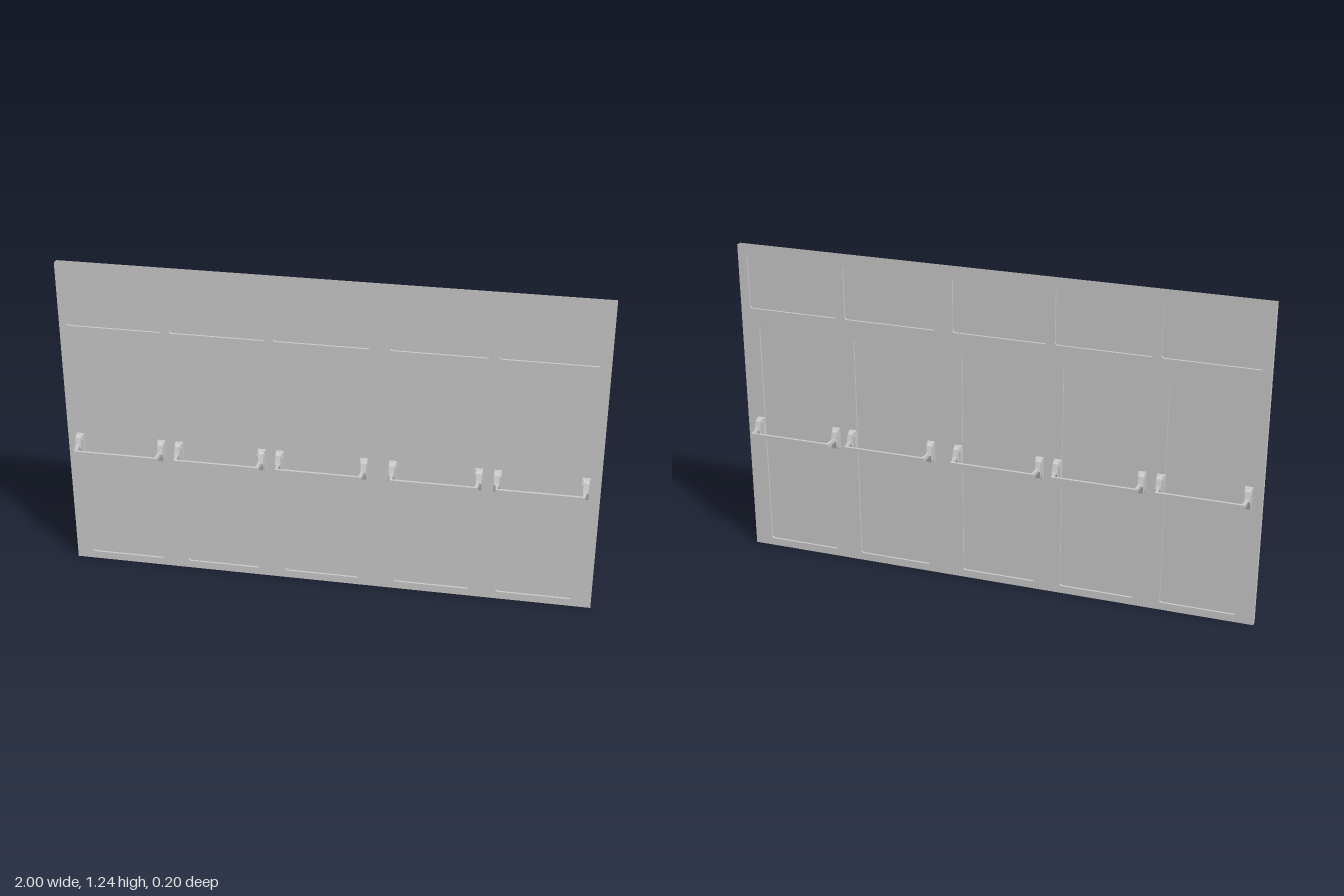
import * as THREE from 'three';

const W = 2, H = 1.24, T = 0.012, PANE = 0.004;
const CENTRES = [-0.792, -0.407, -0.022, 0.402, 0.787];
const mat = new THREE.MeshStandardMaterial({ color: 0xcccccc, flatShading: true });
const thin = new THREE.MeshStandardMaterial({ color: 0xcccccc, flatShading: true, side: THREE.DoubleSide });

function add(parent, name, geometry, material = mat) {
  const mesh = new THREE.Mesh(geometry, material);
  mesh.name = name;
  parent.add(mesh);
  return mesh;
}

// Rectangle with small clipped corners
function clippedRect(cx, w, y0, y1, c = 0.006) {
  const a = cx - w / 2, b = cx + w / 2;
  return [[a + c, y0], [b - c, y0], [b, y0 + c], [b, y1 - c], [b - c, y1], [a + c, y1], [a, y1 - c], [a, y0 + c]]
    .map(([x, y]) => new THREE.Vector2(x, y));
}

// Ribbon joining an outline at depth z0 to the same outline at z1
function ribbon(points, z0, z1) {
  const pos = [], index = [], n = points.length;
  points.forEach((p) => pos.push(p.x, p.y, z0, p.x, p.y, z1));
  for (let i = 0; i < n; i++) {
    const a = 2 * i, b = 2 * ((i + 1) % n);
    index.push(a, b, a + 1, b, b + 1, a + 1);
  }
  const g = new THREE.BufferGeometry();
  g.setAttribute('position', new THREE.Float32BufferAttribute(pos, 3));
  g.setIndex(index);
  g.computeVertexNormals();
  return g;
}

// Solid with a side profile in (z, y), centred across its width in x
function sideExtrude(profile, width) {
  const shape = new THREE.Shape(profile.map(([z, y]) => new THREE.Vector2(-z, y)));
  const g = new THREE.ExtrudeGeometry(shape, { depth: width, bevelEnabled: false });
  g.translate(0, 0, -width / 2);
  g.rotateY(Math.PI / 2);
  return g;
}

// One face of the door: pierced sheet, recess walls and recessed panes
function makeFace() {
  const face = new THREE.Group();
  const sheet = new THREE.Shape([[-1, 0], [1, 0], [1, H], [-1, H]].map(([x, y]) => new THREE.Vector2(x * W / 2, y)));
  for (const cx of CENTRES) {
    const outlines = {
      window: clippedRect(cx, 0.355, 0.995, 1.205),
      lowerPanel: clippedRect(cx, 0.288, 0.03, 0.927),
    };
    for (const [name, points] of Object.entries(outlines)) {
      sheet.holes.push(new THREE.Path(points));
      add(face, name + 'Reveal', ribbon(points, T, PANE), thin);
      add(face, name, new THREE.ShapeGeometry(new THREE.Shape(points)).translate(0, 0, PANE), thin);
    }
  }
  add(face, 'doorSheet', new THREE.ShapeGeometry(sheet).translate(0, 0, T), thin);
  return face;
}

// Push bar with two end brackets
function makePushBar() {
  const bar = new THREE.Group();
  bar.name = 'pushBar';
  const head = [[T, 0.552], [0.022, 0.554], [0.04, 0.546], [0.053, 0.512], [0.042, 0.48], [0.022, 0.472], [T, 0.471]];
  const base = [[T, 0.554], [0.026, 0.553], [0.032, 0.535], [0.032, 0.49], [0.026, 0.472], [T, 0.47]];
  for (const s of [-1, 1]) {
    add(bar, 'bracketBase', sideExtrude(base, 0.028)).position.x = s * 0.158;
    add(bar, 'bracketHead', sideExtrude(head, 0.02)).position.x = s * 0.16;
    // Arm reaching forward, bending slightly in towards the bar
    const arm = add(bar, 'arm', new THREE.BoxGeometry(0.01, 0.014, 0.056));
    arm.position.set(s * 0.157, 0.514, 0.07);
    arm.rotation.y = -s * 0.08;
  }
  add(bar, 'bar', new THREE.BoxGeometry(0.318, 0.014, 0.01)).position.set(0, 0.514, 0.096);
  return bar;
}

export function createModel() {
  const model = new THREE.Group();
  model.name = 'emergencyDoors';
  for (const [name, turn] of [['front', 0], ['back', Math.PI]]) {
    const side = new THREE.Group();
    side.name = name + 'Side';
    const face = makeFace();
    face.name = name + 'Face';
    // Mirror in z so that the uneven spacing matches on both sides
    if (turn) face.traverse((o) => {
      if (!o.isMesh) return;
      o.geometry.scale(1, 1, -1);
      const idx = o.geometry.index.array;
      for (let i = 0; i < idx.length; i += 3) [idx[i], idx[i + 1]] = [idx[i + 1], idx[i]];
      o.geometry.computeVertexNormals();
    });
    side.add(face);
    for (const cx of CENTRES) {
      const bar = makePushBar();
      bar.position.x = cx;
      bar.rotation.y = turn;
      side.add(bar);
    }
    model.add(side);
  }
  // End strips closing the two short edges
  for (const s of [-1, 1]) {
    const strip = add(model, 'endStrip', new THREE.PlaneGeometry(2 * T, H), thin);
    strip.position.set(s * W / 2, H / 2, 0);
    strip.rotation.y = s * Math.PI / 2;
  }
  return model;
}
